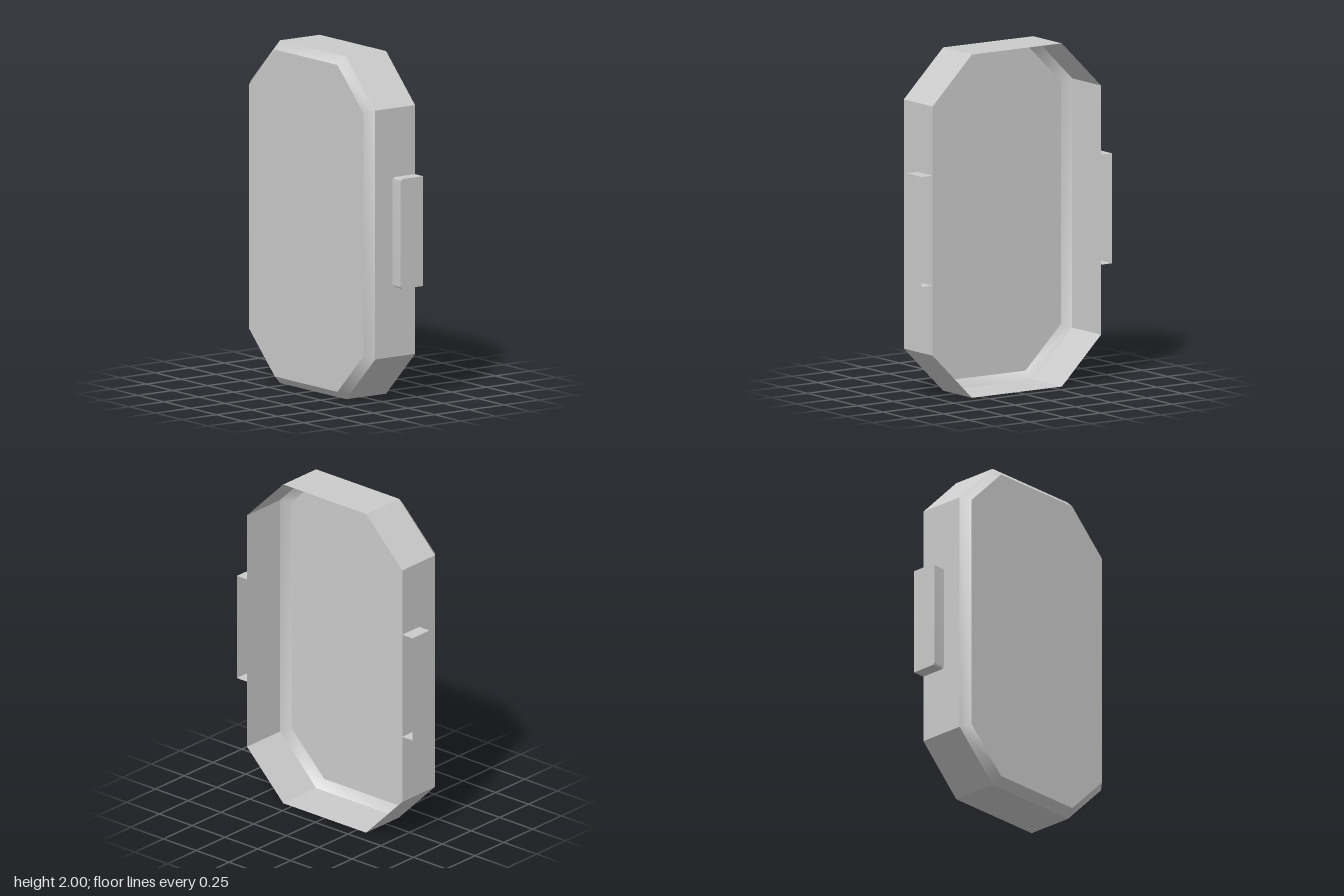
import * as THREE from 'three';

const material = new THREE.MeshStandardMaterial({ color: 0xcccccc, side: THREE.DoubleSide });

// Band of quads between two matching rows of points; smooth or faceted along its length.
function band(a, b, { closed = false, smooth = false } = {}) {
  const n = a.length, index = [];
  for (let i = 0; i < (closed ? n : n - 1); i++) {
    const j = (i + 1) % n;
    index.push(i, j, n + j, i, n + j, n + i);
  }
  let geo = new THREE.BufferGeometry().setFromPoints([...a, ...b]);
  geo.setIndex(index);
  if (!smooth) geo = geo.toNonIndexed();
  geo.computeVertexNormals();
  return geo;
}

function part(name, geometry) {
  const mesh = new THREE.Mesh(geometry, material);
  mesh.name = name;
  return mesh;
}

// Cut-corner rectangle, counter-clockwise seen from the front.
function octagon(halfW, halfH, cornerX, cornerY, z) {
  return [
    [halfW, -cornerY], [halfW, cornerY], [cornerX, halfH], [-cornerX, halfH],
    [-halfW, cornerY], [-halfW, -cornerY], [-cornerX, -halfH], [cornerX, -halfH],
  ].map(([x, y]) => new THREE.Vector3(x, y + 1, z));
}

// Open-backed side tab with chamfered front edges.
function createTab(side) {
  const back = -0.168, front = -0.005, low = 0.682, high = 1.323, c = 0.015;
  const profile = [
    [back, high], [front - c, high], [front, high - c],
    [front, low + c], [front - c, low], [back, low],
  ];
  const row = (x) => profile.map(([z, y]) => new THREE.Vector3(side * x, y, z));
  const inner = row(0.592), outer = row(0.67);
  const facing = (a, b, options) => (side > 0 ? band(a, b, options) : band(b, a, options));

  const tab = new THREE.Group();
  tab.name = side > 0 ? 'leftTab' : 'rightTab';
  tab.add(
    part('tabTop', facing(inner.slice(0, 2), outer.slice(0, 2))),
    part('tabFront', facing(inner.slice(1, 5), outer.slice(1, 5), { smooth: true })),
    part('tabBottom', facing(inner.slice(4), outer.slice(4))),
    part('tabEnd', facing(outer.slice(0, 3), outer.slice(3).reverse())),
  );
  return tab;
}

export function createModel() {
  const model = new THREE.Group();
  model.name = 'casing';

  // Thin shell, open at the back
  const backRim = octagon(0.592, 1, 0.316, 0.726, -0.168);
  const frontRim = octagon(0.592, 1, 0.316, 0.726, 0.118);
  const faceRim = octagon(0.547, 0.954, 0.298, 0.708, 0.168);
  const face = new THREE.ShapeGeometry(new THREE.Shape(faceRim.map((p) => new THREE.Vector2(p.x, p.y))));
  face.translate(0, 0, 0.168);

  model.add(
    part('sideWalls', band(backRim, frontRim, { closed: true })),
    part('frontBevel', band(frontRim, faceRim, { closed: true, smooth: true })),
    part('frontPanel', face),
  );

  // Mirrored side tabs
  for (const side of [1, -1]) model.add(createTab(side));
  return model;
}
